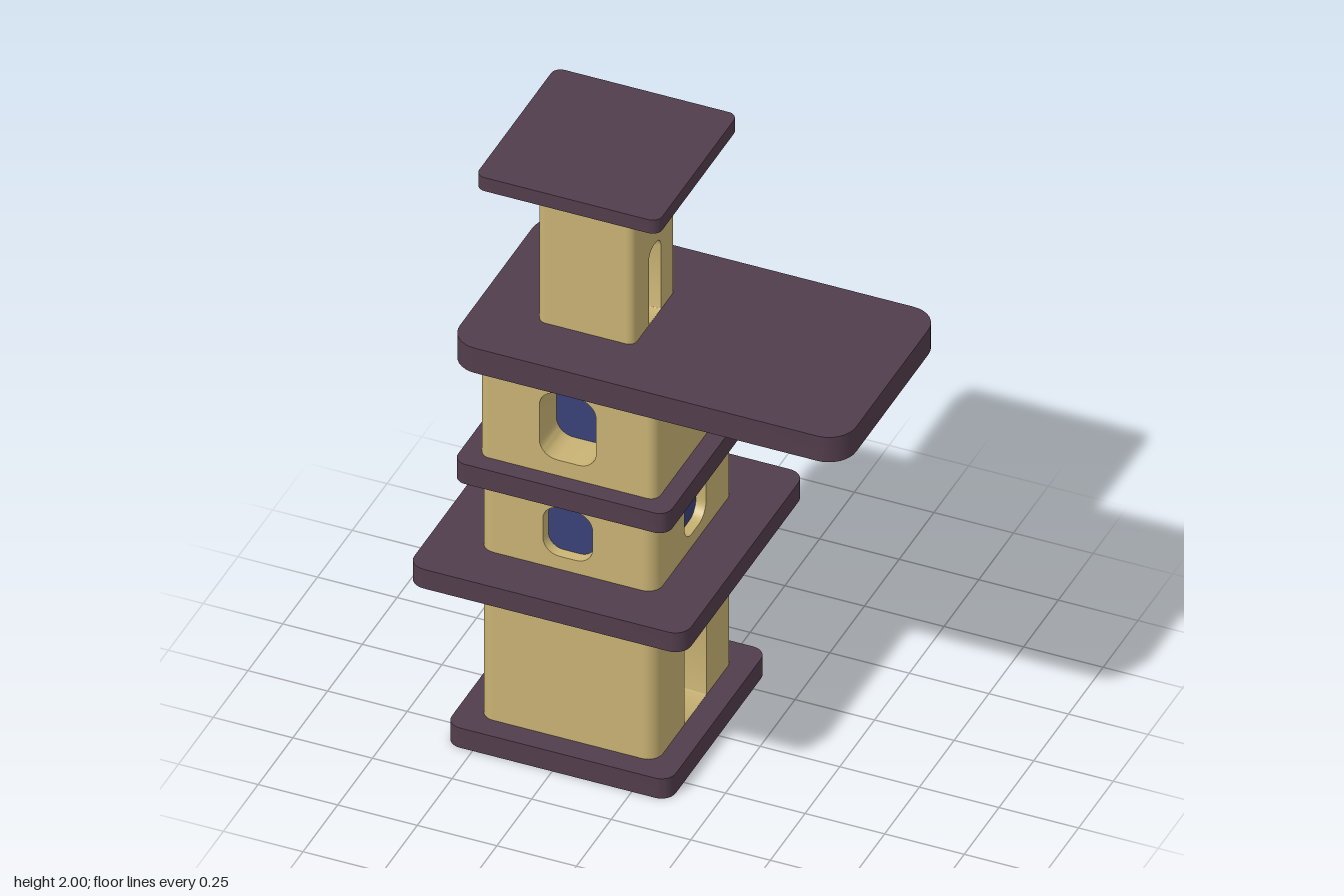
import * as THREE from 'three';
import { toCreasedNormals } from 'three/addons/utils/BufferGeometryUtils.js';

const wallMat = new THREE.MeshStandardMaterial({ color: 0xc8b273 });
const slabMat = new THREE.MeshStandardMaterial({ color: 0x523d4c });
const paneMat = new THREE.MeshStandardMaterial({ color: 0x3a4278 });
const AXIS = -0.233; // x of the tower's centre line

function addMesh(parent, name, geometry, material) {
  const mesh = new THREE.Mesh(geometry, material);
  mesh.name = name;
  parent.add(mesh);
  return mesh;
}

// Counter-clockwise rounded rectangle; bottom and top corners have their own radius
function outline(x0, x1, y0, y1, rBottom, rTop = rBottom) {
  const points = [];
  const corners = [
    [x1 - rBottom, y0 + rBottom, rBottom, -Math.PI / 2],
    [x1 - rTop, y1 - rTop, rTop, 0],
    [x0 + rTop, y1 - rTop, rTop, Math.PI / 2],
    [x0 + rBottom, y0 + rBottom, rBottom, Math.PI],
  ];
  for (const [cx, cy, r, start] of corners) {
    for (let i = 0; i <= 8; i++) {
      const a = start + (i / 8) * (Math.PI / 2);
      points.push(new THREE.Vector2(cx + r * Math.cos(a), cy + r * Math.sin(a)));
    }
  }
  return points;
}

// Floor or roof plate with rounded corners
function addSlab(parent, name, x0, x1, halfDepth, y0, y1, r) {
  const shape = new THREE.Shape(outline(x0, x1, -halfDepth, halfDepth, r));
  const geo = new THREE.ExtrudeGeometry(shape, { depth: y1 - y0, bevelEnabled: false });
  geo.rotateX(-Math.PI / 2);
  addMesh(parent, name, toCreasedNormals(geo, 0.6), slabMat).position.y = y0;
}

// Sides of a recess, running from the wall face back to the pane
function recessGeometry(outer, inner, depth) {
  const pos = [], index = [], n = outer.length;
  outer.forEach((p, i) => pos.push(p.x, p.y, 0, inner[i].x, inner[i].y, -depth));
  for (let i = 0; i < n; i++) {
    const a = 2 * i, b = 2 * ((i + 1) % n);
    index.push(a, b, b + 1, a, b + 1, a + 1);
  }
  const geo = new THREE.BufferGeometry();
  geo.setAttribute('position', new THREE.Float32BufferAttribute(pos, 3));
  geo.setIndex(index);
  return toCreasedNormals(geo, 0.6);
}

// One storey: four flat walls with openings, joined by rounded corners.
// openings maps a side (0 front, 1 left, 2 back, 3 right) to its opening.
function addStorey(parent, name, half, y0, y1, r, openings) {
  const storey = new THREE.Group();
  storey.name = name;
  storey.position.x = AXIS;
  parent.add(storey);
  const flat = half - r;
  for (let side = 0; side < 4; side++) {
    const face = new THREE.Group();
    face.name = 'wallSide';
    face.rotation.y = side * Math.PI / 2;
    storey.add(face);
    const shape = new THREE.Shape([
      new THREE.Vector2(-flat, y0), new THREE.Vector2(flat, y0),
      new THREE.Vector2(flat, y1), new THREE.Vector2(-flat, y1),
    ]);
    const o = openings[side];
    if (o) {
      const outer = outline(-o.w, o.w, o.y0, o.y1, o.rb, o.rt);
      const t = o.taper;
      const inner = outline(-o.w + t, o.w - t, o.y0 + t, o.y1 - t,
        Math.max(o.rb - t, 0.002), Math.max(o.rt - t, 0.002));
      shape.holes.push(new THREE.Path(outer));
      addMesh(face, 'recess', recessGeometry(outer, inner, o.depth), wallMat).position.z = half;
      addMesh(face, 'pane', new THREE.ShapeGeometry(new THREE.Shape(inner)), paneMat)
        .position.z = half - o.depth;
    }
    addMesh(face, 'wall', new THREE.ShapeGeometry(shape), wallMat).position.z = half;
    const corner = new THREE.CylinderGeometry(r, r, y1 - y0, 8, 1, true, 0, Math.PI / 2);
    addMesh(face, 'wallCorner', corner, wallMat).position.set(flat, (y0 + y1) / 2, flat);
  }
}

export function createModel() {
  const model = new THREE.Group();
  model.name = 'tower';

  // Plates between the storeys, bottom to top
  addSlab(model, 'baseSlab', -0.585, 0.119, 0.352, 0, 0.07, 0.045);
  addSlab(model, 'lowerSlab', -0.668, 0.202, 0.436, 0.6, 0.668, 0.05);
  addSlab(model, 'middleSlab', -0.57, 0.103, 0.336, 0.93, 1.0, 0.04);
  addSlab(model, 'terraceSlab', -0.58, 0.665, 0.346, 1.342, 1.43, 0.085);
  addSlab(model, 'roofSlab', -0.52, 0.055, 0.288, 1.952, 2.0, 0.03);

  // Openings
  const door = { w: 0.079, y0: 0.071, y1: 0.43, rb: 0.002, rt: 0.065, taper: 0.033, depth: 0.13 };
  const smallWindow = { w: 0.078, y0: 0.714, y1: 0.885, rb: 0.052, rt: 0.052, taper: 0.004, depth: 0.03 };
  const largeWindow = { w: 0.089, y0: 1.055, y1: 1.29, rb: 0.055, rt: 0.055, taper: 0.001, depth: 0.12 };
  const terraceDoor = { w: 0.043, y0: 1.431, y1: 1.692, rb: 0.002, rt: 0.034, taper: 0.008, depth: 0.08 };

  // Storeys
  addStorey(model, 'groundStorey', 0.279, 0.07, 0.6, 0.045, { 1: door });
  addStorey(model, 'secondStorey', 0.279, 0.668, 0.93, 0.045,
    { 0: smallWindow, 1: smallWindow, 2: smallWindow, 3: smallWindow });
  addStorey(model, 'thirdStorey', 0.279, 1.0, 1.342, 0.03, { 0: largeWindow, 2: largeWindow });
  addStorey(model, 'topStorey', 0.152, 1.43, 1.952, 0.025, { 1: terraceDoor });

  return model;
}
